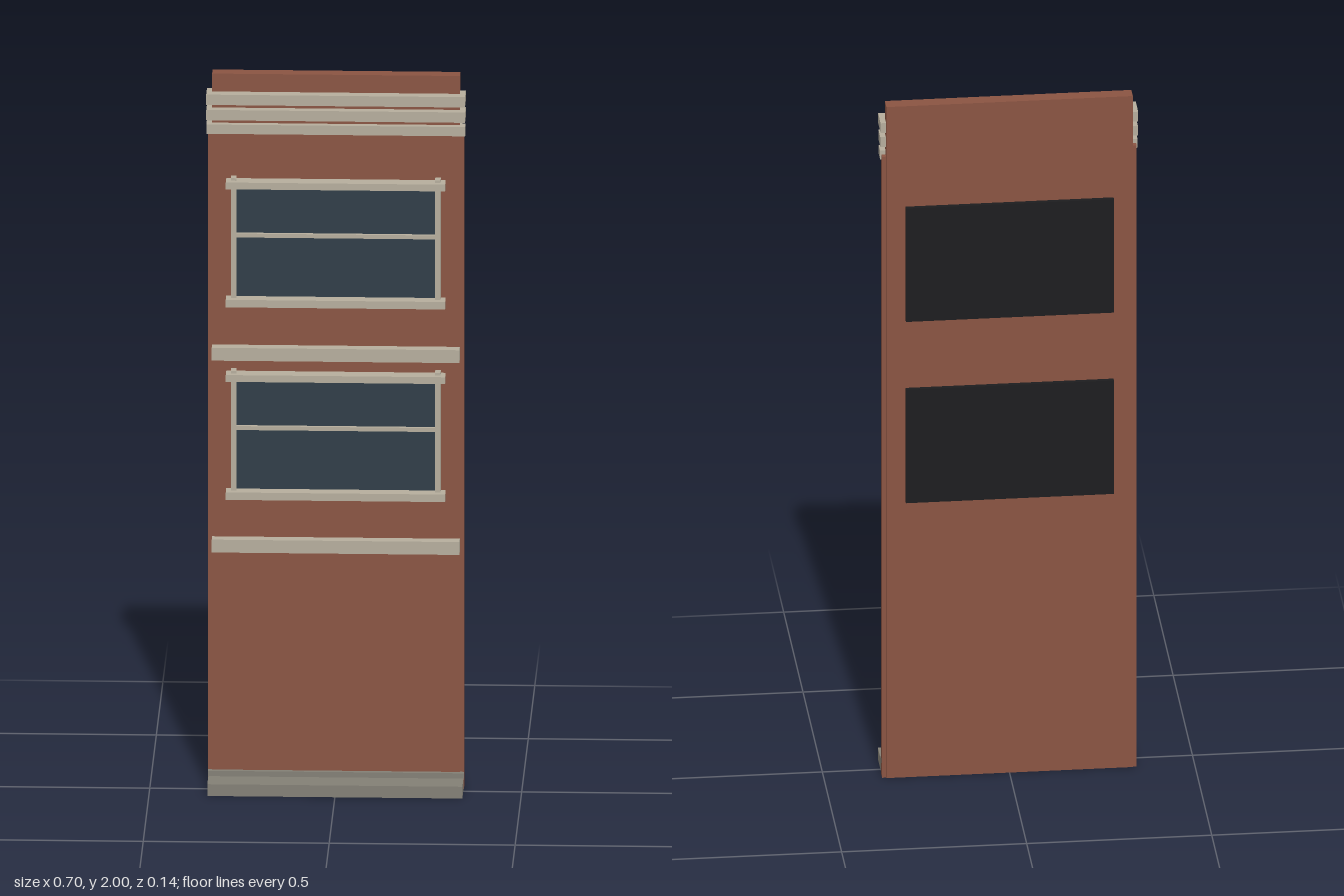
import * as THREE from 'three';

const paint = (name, color) => {
  const m = new THREE.MeshStandardMaterial({ color });
  m.name = name;
  return m;
};

export function createModel() {
  const brick = paint('brick', 0x8a5442);
  const stone = paint('pale stone', 0xb5ad9c);
  const plinth = paint('grey stone', 0x827f75);
  const glass = paint('dark glass', 0x2e3c47);
  const backing = paint('black backing', 0x1c1c1e);

  const model = new THREE.Group();
  model.name = 'facadePanel';

  // Box given by its x, y and z extents
  const box = (parent, name, mat, [x0, x1], [y0, y1], [z0, z1]) => {
    const mesh = new THREE.Mesh(new THREE.BoxGeometry(x1 - x0, y1 - y0, z1 - z0), mat);
    mesh.position.set((x0 + x1) / 2, (y0 + y1) / 2, (z0 + z1) / 2);
    mesh.name = name;
    parent.add(mesh);
  };
  const wide = (w) => [-w, w];

  // Wall, parapet and narrow side strips
  box(model, 'wall', brick, wide(0.333), [0, 1.9], [-0.056, -0.021]);
  box(model, 'parapet', brick, wide(0.333), [1.9, 2], [-0.058, -0.0195]);
  for (const s of [-1, 1]) {
    const xs = [s * 0.333, s * 0.344].sort((a, b) => a - b);
    box(model, s > 0 ? 'leftEdgeStrip' : 'rightEdgeStrip', brick, xs, [0, 1.85], [-0.053, -0.023]);
  }

  // Stepped base
  box(model, 'baseStep', plinth, wide(0.343), [0, 0.033], [-0.037, 0.068]);
  box(model, 'baseUpstand', plinth, wide(0.344), [0.033, 0.048], [-0.033, -0.008]);

  // Cornice bands, deepest at the top
  [[1.921, 1.95, 0.032], [1.876, 1.905, 0.025], [1.836, 1.862, 0.018]].forEach(([y0, y1, d], i) =>
    box(model, `corniceBand${i + 1}`, stone, wide(0.348), [y0, y1], [-0.0205 - d, -0.0205 + d]));

  // Belt courses
  [0.666, 1.204].forEach((y, i) =>
    box(model, `beltCourse${i + 1}`, stone, wide(0.333), [y, y + 0.036], [-0.03, 0.011]));

  // Windows, measured from the underside of each sill
  [['lowerWindow', 0.817], ['upperWindow', 1.357]].forEach(([name, y]) => {
    const g = new THREE.Group();
    g.name = name;
    model.add(g);
    box(g, 'glass', glass, wide(0.27), [y + 0.01, y + 0.34], [-0.024, -0.016]);
    box(g, 'backPanel', backing, wide(0.281), [y + 0.005, y + 0.343], [-0.068, -0.055]);
    box(g, 'sill', stone, wide(0.295), [y, y + 0.021], [-0.025, 0.0215]);
    box(g, 'lintel', stone, wide(0.295), [y + 0.331, y + 0.35], [-0.025, 0.0215]);
    box(g, 'rightJamb', stone, [-0.282, -0.267], [y - 0.005, y + 0.357], [-0.025, 0.004]);
    box(g, 'leftJamb', stone, [0.267, 0.282], [y - 0.005, y + 0.357], [-0.025, 0.004]);
    box(g, 'glazingBar', stone, wide(0.267), [y + 0.188, y + 0.199], [-0.025, -0.006]);
  });

  return model;
}
